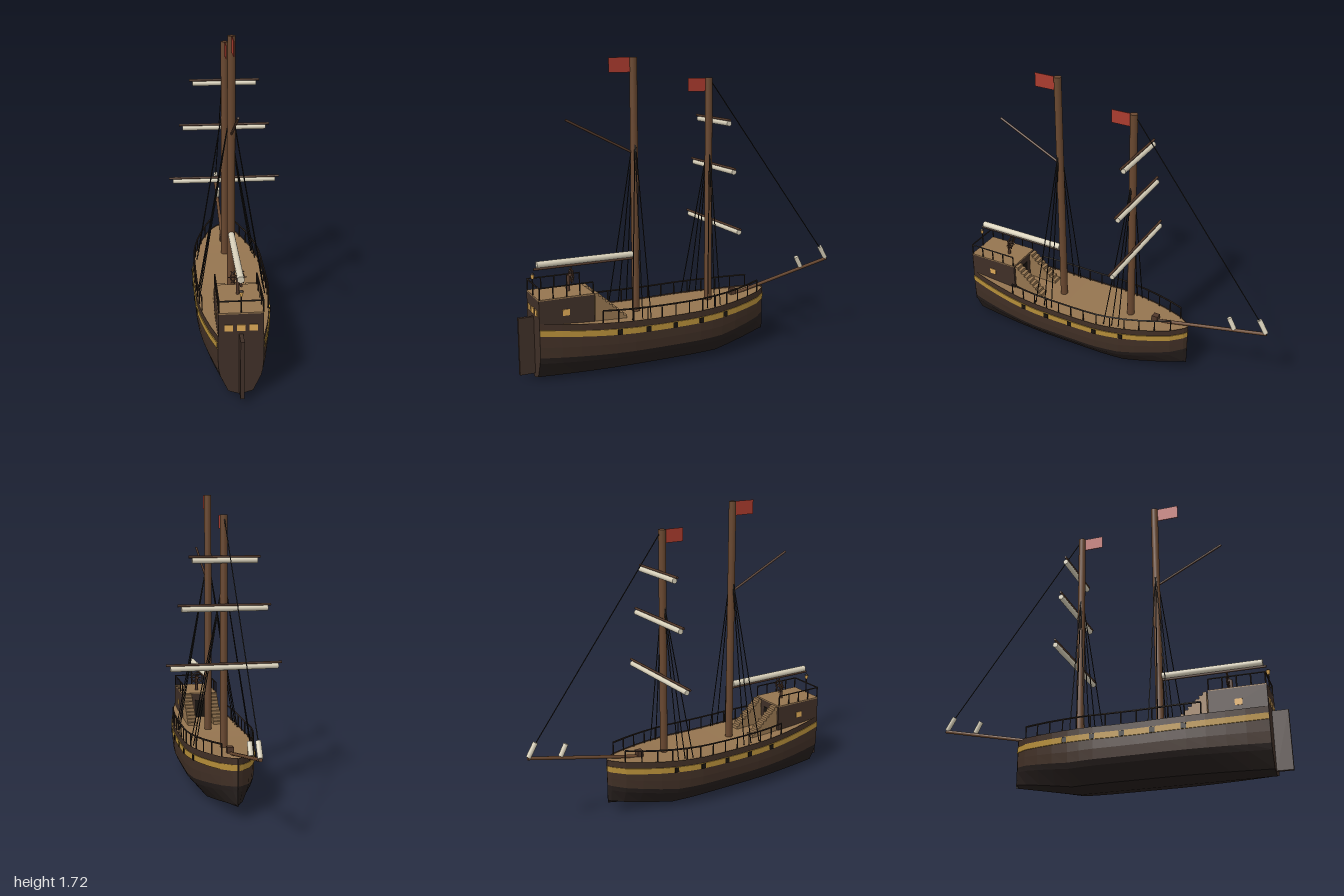
import * as THREE from 'three';

const mat = (color, flatShading = false) =>
  new THREE.MeshStandardMaterial({ color, flatShading, side: THREE.DoubleSide });
const M = {
  hull: mat(0x402f25, true), keel: mat(0x241d1b, true), gold: mat(0xb38c38, true), deck: mat(0x94744f, true),
  cabin: mat(0x3f2f27, true), mast: mat(0x68472f), spar: mat(0x51382a), sail: mat(0xd8d0ba),
  rope: mat(0x1b1816), rail: mat(0x2c221c), flag: mat(0xaa3b2e), window: mat(0xdca856), black: mat(0x17130f),
};

// Hull lines: half breadth, sheer height and keel height along z (bow at -z)
const STATIONS = [[0.915, 0.115], [0.8, 0.143], [0.7, 0.163], [0.6, 0.18], [0.5, 0.192], [0.4, 0.199], [0.25, 0.2],
  [0.1, 0.2], [0, 0.199], [-0.08, 0.19], [-0.15, 0.178], [-0.25, 0.152], [-0.35, 0.117], [-0.44, 0.078],
  [-0.505, 0.026], [-0.52, 0.001]];
const half = z => {
  const i = Math.max(1, STATIONS.findIndex(s => s[0] <= z));
  const [z0, h0] = STATIONS[i - 1], [z1, h1] = STATIONS[i];
  return h0 + (h1 - h0) * (z - z0) / (z1 - z0);
};
const sheer = z => 0.305 + 0.07 * (z - 0.2) ** 2;
const bottom = z => 0.005 + Math.max(0, -0.15 - z) * 0.19;
const SECTION = [[0, 0], [0.55, 0.06], [0.9, 0.32], [0.965, 0.42], [1, 0.6], [1, 1]];
const sectionPoint = (z, [w, t]) => [half(z) * w, bottom(z) + (sheer(z) - bottom(z)) * t];
const mirror = pts => pts.map(([x, y]) => [-x, y]).reverse();

export function createModel() {
  const ship = new THREE.Group();
  ship.name = 'sailingShip';

  const add = (name, geo, material, x = 0, y = 0, z = 0, parent = ship) => {
    const m = new THREE.Mesh(geo, material);
    m.name = name;
    m.position.set(x, y, z);
    parent.add(m);
    return m;
  };
  const box = (name, w, h, d, material, x, y, z) => add(name, new THREE.BoxGeometry(w, h, d), material, x, y, z);
  // Round bar between two points
  const rod = (name, a, b, r, material, seg = 8) => {
    const A = new THREE.Vector3(...a), B = new THREE.Vector3(...b);
    const m = add(name, new THREE.CylinderGeometry(r, r, A.distanceTo(B), seg), material);
    m.position.copy(A).add(B).multiplyScalar(0.5);
    m.quaternion.setFromUnitVectors(new THREE.Vector3(0, 1, 0), B.sub(A).normalize());
    return m;
  };
  // Skin through one cross-section per station
  const loft = (name, profile, material) => {
    const pos = [], idx = [];
    let n = 0;
    STATIONS.forEach(([z]) => {
      const pts = profile(z);
      n = pts.length;
      pts.forEach(([x, y]) => pos.push(x, y, z));
    });
    for (let i = 0; i < STATIONS.length - 1; i++)
      for (let j = 0; j < n - 1; j++) {
        const a = i * n + j, b = a + n;
        idx.push(a, b, a + 1, a + 1, b, b + 1);
      }
    const g = new THREE.BufferGeometry();
    g.setAttribute('position', new THREE.Float32BufferAttribute(pos, 3));
    g.setIndex(idx);
    const flat = g.toNonIndexed();
    flat.computeVertexNormals();
    return add(name, flat, material);
  };

  // Hull: dark bottom, brown topsides, raised gold band, deck and transom
  const lower = z => SECTION.slice(0, 4).map(p => sectionPoint(z, p));
  const upper = z => SECTION.slice(3).map(p => sectionPoint(z, p));
  const band = z => {
    const h = half(z), t = sheer(z) - 0.037, b = t - 0.033;
    return [[h, b], [h + 0.005, b], [h + 0.005, t], [h, t]];
  };
  loft('hullBottom', z => [...mirror(lower(z)), ...lower(z).slice(1)], M.keel);
  loft('hullSideLeft', upper, M.hull);
  loft('hullSideRight', z => mirror(upper(z)), M.hull);
  loft('goldBandLeft', band, M.gold);
  loft('goldBandRight', z => mirror(band(z)), M.gold);
  loft('deck', z => [[half(z) * 0.99, sheer(z) - 0.008], [-half(z) * 0.99, sheer(z) - 0.008]], M.deck);
  const stern = SECTION.map(p => sectionPoint(0.915, p));
  const outline = [...mirror(stern), ...stern.slice(1)].map(p => new THREE.Vector2(...p));
  add('transom', new THREE.ShapeGeometry(new THREE.Shape(outline)), M.cabin, 0, 0, 0.915);
  box('rudder', 0.02, 0.32, 0.085, M.cabin, 0, 0.19, 0.9575);

  // Gun ports and side railings
  const zs = Array.from({ length: 13 }, (_, i) => 0.58 - i * 0.085);
  for (const s of [-1, 1]) {
    for (let i = 0; i < 5; i++) {
      const z = 0.49 - i * 0.164;
      box('gunPort', 0.012, 0.03, 0.028, M.black, s * (half(z) + 0.002), sheer(z) - 0.054, z);
    }
    const top = z => [s * (half(z) - 0.006), sheer(z) + 0.067, z];
    zs.forEach((z, i) => {
      rod('railPost', [s * (half(z) - 0.006), sheer(z) - 0.01, z], top(z), 0.004, M.rail, 6);
      if (i) rod('handrail', top(zs[i - 1]), top(z), 0.005, M.rail, 6);
    });
  }

  // Stern cabin with windows, door and upper deck
  box('cabin', 0.226, 0.165, 0.31, M.cabin, 0, 0.3775, 0.76);
  box('upperDeck', 0.226, 0.008, 0.31, M.deck, 0, 0.463, 0.76);
  box('cabinDoor', 0.06, 0.11, 0.006, M.black, 0, 0.365, 0.604);
  for (const x of [-0.062, 0, 0.062]) box('sternWindow', 0.042, 0.034, 0.006, M.window, x, 0.385, 0.916);
  for (const s of [-1, 1]) {
    box('sideWindow', 0.006, 0.034, 0.04, M.window, s * 0.113, 0.382, 0.765);
    // Solid stairs from the main deck
    for (let i = 0; i < 9; i++) {
      const h = 0.018 * (i + 1);
      box('stairStep', 0.055, h, 0.0205, M.deck, s * 0.081, 0.3 + h / 2, 0.424 + i * 0.0205);
    }
    // Upper deck railing
    rod('upperRail', [s * 0.11, 0.53, 0.61], [s * 0.11, 0.53, 0.912], 0.004, M.rail, 6);
    for (const z of [0.61, 0.685, 0.76, 0.835, 0.91])
      rod('upperRailPost', [s * 0.11, 0.465, z], [s * 0.11, 0.53, z], 0.004, M.rail, 6);
  }
  rod('sternRail', [-0.11, 0.53, 0.912], [0.11, 0.53, 0.912], 0.004, M.rail, 6);

  // Stern lantern
  rod('lanternPost', [0, 0.465, 0.912], [0, 0.56, 0.912], 0.004, M.rail, 6);
  add('lantern', new THREE.CylinderGeometry(0.011, 0.008, 0.024, 6), M.window, 0, 0.57, 0.912);
  add('lanternCap', new THREE.ConeGeometry(0.013, 0.01, 6), M.rail, 0, 0.586, 0.912);

  // Steering wheel
  rod('wheelPost', [0, 0.465, 0.712], [0, 0.555, 0.712], 0.009, M.spar);
  add('wheelRim', new THREE.TorusGeometry(0.034, 0.004, 6, 24), M.spar, 0, 0.552, 0.695);
  rod('wheelHub', [0, 0.552, 0.686], [0, 0.552, 0.712], 0.009, M.spar);
  for (let i = 0; i < 4; i++) {
    const c = 0.048 * Math.cos(i * Math.PI / 4), s = 0.048 * Math.sin(i * Math.PI / 4);
    rod('wheelSpoke', [-c, 0.552 - s, 0.695], [c, 0.552 + s, 0.695], 0.003, M.spar, 6);
  }

  // Masts with flags and shrouds
  const masts = [
    { name: 'mainMast', z: 0.315, top: 1.72, hound: 1.285, flag: [0.122, 0.08], feet: [0.3, 0.35, 0.41] },
    { name: 'foreMast', z: -0.147, top: 1.602, hound: 1.205, flag: [0.11, 0.075], feet: [-0.145, -0.105, -0.055] },
  ];
  for (const m of masts) {
    add(m.name, new THREE.CylinderGeometry(0.021, 0.022, m.top - 0.29, 16), M.mast, 0, (m.top + 0.29) / 2, m.z);
    const [len, h] = m.flag;
    box(m.name + 'Flag', 0.004, h, len, M.flag, 0, m.top - h / 2 - 0.001, m.z + 0.021 + len / 2);
    for (const s of [-1, 1])
      for (const z of m.feet)
        rod('shroud', [s * 0.012, m.hound, m.z], [s * (half(z) - 0.02), sheer(z), z], 0.003, M.rope, 5);
  }

  // Yards with furled square sails
  for (const [y, w, sw] of [[1.376, 0.2, 0.182], [1.112, 0.262, 0.242], [0.785, 0.328, 0.305]]) {
    rod('yard', [-w, y, -0.174], [w, y, -0.174], 0.007, M.spar);
    rod('furledSail', [-sw, y - 0.02, -0.18], [sw, y - 0.02, -0.18], 0.015, M.sail, 12);
  }

  // Gaff and boom with furled sail
  rod('gaff', [0, 1.2, 0.32], [0, 1.396, 0.706], 0.007, M.spar);
  rod('boom', [0, 0.607, 0.32], [0, 0.607, 0.905], 0.007, M.spar);
  rod('furledMainSail', [0, 0.631, 0.335], [0, 0.631, 0.888], 0.018, M.sail, 12);

  // Bowsprit, its bitt, furled jibs and forestay
  rod('bowsprit', [0, 0.312, -0.31], [0, 0.46, -0.985], 0.01, M.mast, 10);
  box('bowspritBitt', 0.036, 0.05, 0.036, M.spar, 0, 0.325, -0.312);
  rod('furledJib', [0, 0.493, -0.762], [0, 0.428, -0.796], 0.014, M.sail, 12);
  rod('furledJib', [0, 0.54, -0.936], [0, 0.465, -0.98], 0.014, M.sail, 12);
  rod('forestay', [0, 1.585, -0.16], [0, 0.53, -0.94], 0.003, M.rope, 5);
  return ship;
}
